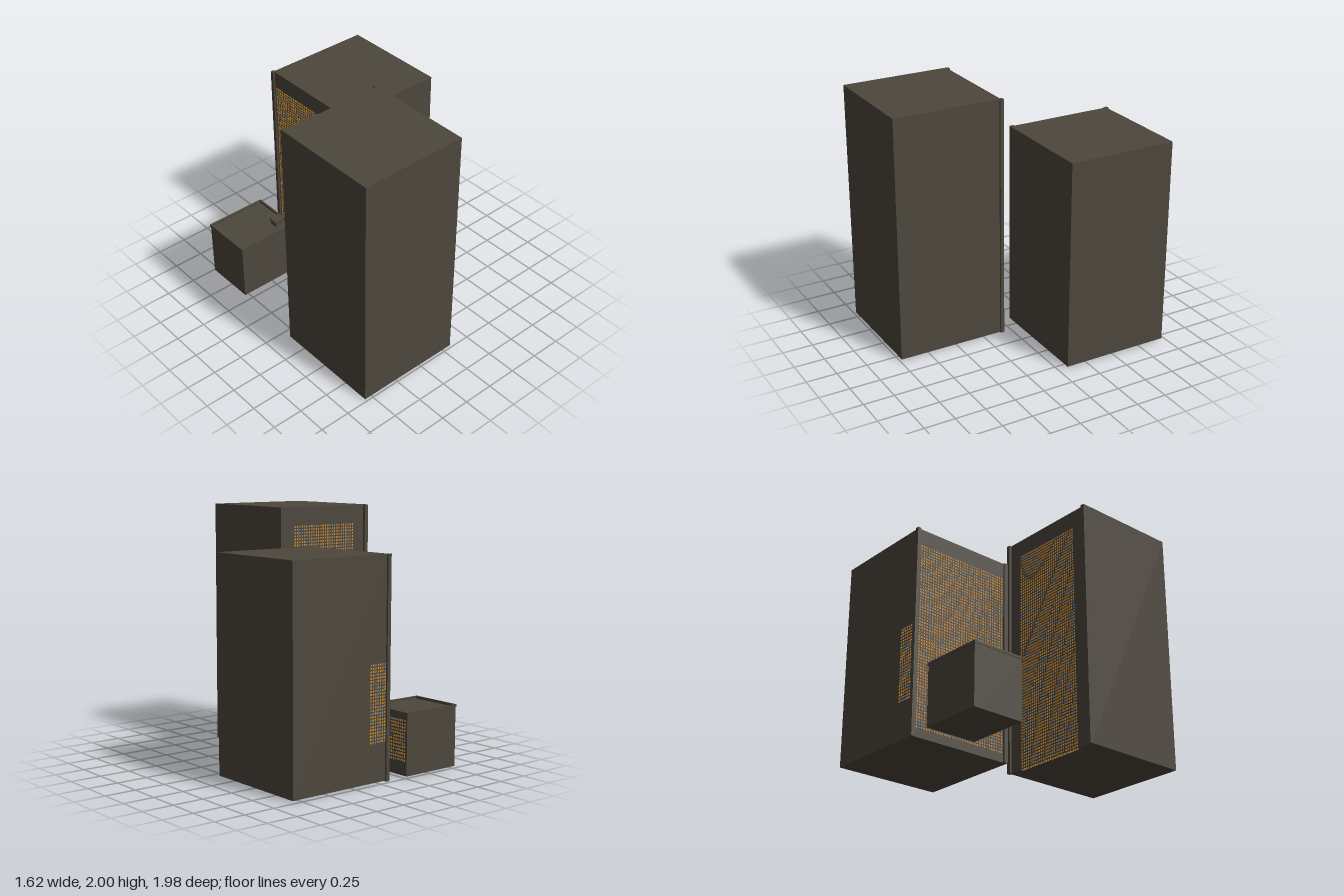
import * as THREE from 'three';
import { mergeGeometries } from 'three/addons/utils/BufferGeometryUtils.js';

const material = (color) => new THREE.MeshStandardMaterial({ color });

export function createModel() {
  const model = new THREE.Group();
  const wall = material(0x4d473d);
  const glass = { litWindows: material(0xd08a2a), dimWindows: material(0x77868c) };

  // Small seeded generator deciding which windows are lit
  let seed = 11;
  const random = () => (seed = (seed * 16807) % 2147483647) / 2147483647;

  // Box given by its extents on each axis
  function box(parent, name, [x0, x1], [y0, y1], [z0, z1]) {
    const mesh = new THREE.Mesh(new THREE.BoxGeometry(x1 - x0, y1 - y0, z1 - z0), wall);
    mesh.position.set((x0 + x1) / 2, (y0 + y1) / 2, (z0 + z1) / 2);
    mesh.name = name;
    parent.add(mesh);
  }

  function group(name) {
    const g = new THREE.Group();
    g.name = name;
    model.add(g);
    return g;
  }

  // Grid of tiny window boxes; place(u, v) gives the centre on the wall
  function windows(parent, [u0, u1], [v0, v1], alongX, plane) {
    const w = 0.012, h = 0.014, depth = 0.01;
    const cols = Math.round((u1 - u0 - w) / 0.0235), rows = Math.round((v1 - v0 - h) / 0.0245);
    const parts = { litWindows: [], dimWindows: [] };
    for (let i = 0; i <= cols; i++) {
      for (let j = 0; j <= rows; j++) {
        const u = u0 + w / 2 + ((u1 - u0 - w) * i) / cols;
        const v = v0 + h / 2 + ((v1 - v0 - h) * j) / rows;
        const pane = new THREE.BoxGeometry(alongX ? w : depth, h, alongX ? depth : w);
        pane.translate(alongX ? u : plane, v, alongX ? plane : u);
        parts[random() < 0.72 ? 'litWindows' : 'dimWindows'].push(pane);
      }
    }
    for (const name in parts) {
      const mesh = new THREE.Mesh(mergeGeometries(parts[name]), glass[name]);
      mesh.name = name;
      parent.add(mesh);
    }
  }

  // Tall tower, windows on its back
  const tall = group('tallTower');
  box(tall, 'tallBody', [-0.815, 0.075], [0.01, 2], [0.095, 0.985]);
  box(tall, 'tallRightPilaster', [-0.815, -0.78], [0.01, 2], [0.075, 0.105]);
  box(tall, 'tallLeftPilaster', [0.06, 0.092], [0.01, 2], [0.075, 0.105]);
  windows(tall, [-0.665, -0.055], [0, 1.85], true, 0.095);

  // Lower tower, windows on its right side and a patch on its back
  const lower = group('lowerTower');
  box(lower, 'lowerBody', [-0.08, 0.81], [0.01, 1.7], [-0.97, -0.08]);
  box(lower, 'lowerBackPilaster', [-0.096, -0.065], [0.005, 1.7], [-0.985, -0.955]);
  box(lower, 'lowerFrontPilaster', [-0.096, -0.075], [0.01, 1.7], [-0.115, -0.08]);
  windows(lower, [-0.94, -0.13], [0.08, 1.56], false, -0.08);
  windows(lower, [-0.06, 0.09], [0.31, 0.9], true, -0.97);

  // Small annex with an overhanging parapet and a roof hatch
  const annex = group('annex');
  box(annex, 'annexBody', [-0.787, -0.273], [0.01, 0.48], [-0.985, -0.555]);
  for (const [name, x] of [['parapetRight', [-0.792, -0.778]], ['parapetLeft', [-0.282, -0.268]]])
    box(annex, name, x, [0.48, 0.5], [-0.99, -0.55]);
  for (const [name, z] of [['parapetBack', [-0.99, -0.976]], ['parapetFront', [-0.564, -0.55]]])
    box(annex, name, [-0.778, -0.282], [0.48, 0.5], z);
  box(annex, 'hatchBase', [-0.387, -0.318], [0.48, 0.515], [-0.692, -0.623]);
  box(annex, 'hatchLid', [-0.395, -0.31], [0.515, 0.535], [-0.7, -0.615]);
  windows(annex, [-0.965, -0.575], [0.12, 0.44], false, -0.273);

  return model;
}
